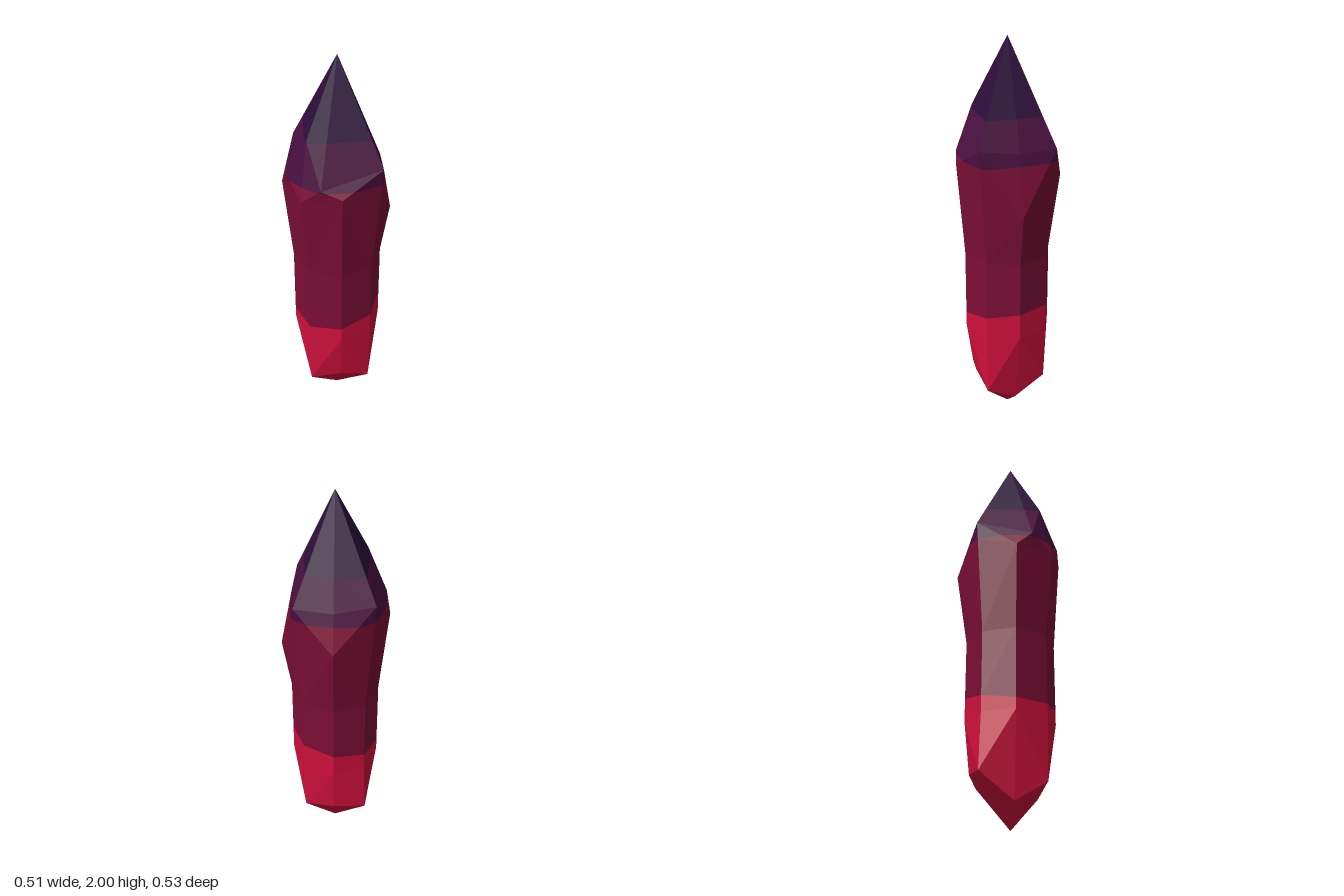
import * as THREE from 'three';

export function createModel() {
  const group = new THREE.Group();
  group.name = 'crystal';

  // Eight edges: four main (even) and four minor (odd), 45 degrees apart
  const angles = Array.from({ length: 8 }, (_, i) => THREE.MathUtils.degToRad(74.5 + 45 * i));
  const at = (i, r, y) => new THREE.Vector3(r * Math.cos(angles[i]), y, r * Math.sin(angles[i]));
  const ring = (rows) => rows.map(([r, y], i) => at(i, r, y));
  const even = (r, y) => angles.map((_, i) => at(i, r, y));
  const point = (y) => angles.map(() => new THREE.Vector3(0, y, 0));

  // Cut corners above the shoulder
  const shoulder = ring([[0.274, 1.515], [0.257, 1.4], [0.267, 1.36], [0.265, 1.37],
    [0.276, 1.52], [0.276, 1.3], [0.264, 1.495], [0.264, 1.19]]);
  const crown = shoulder.map((p) => p.clone());
  crown[1].set(-0.2, 1.44, 0.155);
  crown[2].set(-0.2, 1.65, 0.042);
  crown[3].set(-0.255, 1.45, -0.05);
  crown[5] = at(5, 0.215, 1.49);
  crown[7] = at(7, 0.205, 1.49);

  const rings = [
    point(0.005),
    ring([[0.215, 0.19], [0.175, 0.235], [0.217, 0.2], [0.15, 0.11],
      [0.235, 0.24], [0.195, 0.26], [0.215, 0.235], [0.142, 0.12]]),
    even(0.222, 0.52),
    even(0.221, 0.93),
    shoulder,
    crown,
    point(2),
  ];

  // Facets; each diagonal runs from the lower main edge to the upper minor edge
  const facets = [];
  for (let k = 0; k + 1 < rings.length; k++) {
    for (let i = 0; i < 8; i++) {
      const j = (i + 1) % 8;
      const a = rings[k][i], b = rings[k][j], c = rings[k + 1][i], d = rings[k + 1][j];
      if (i % 2 === 0) facets.push([a, c, d], [a, d, b]);
      else facets.push([a, c, b], [c, d, b]);
    }
  }

  // Keeps the part of a polygon where side * height(p) >= 0
  const clip = (poly, height, side) => {
    const out = [];
    poly.forEach((p, i) => {
      const q = poly[(i + 1) % poly.length];
      const hp = side * height(p), hq = side * height(q);
      if (hp >= 0) out.push(p);
      if ((hp > 0 && hq < 0) || (hp < 0 && hq > 0)) out.push(p.clone().lerp(q, hp / (hp - hq)));
    });
    return out;
  };

  // Colour bands, split by these levels
  const levels = [(p) => p.y - 0.613 - 0.2 * p.x, (p) => p.y - 1.43, (p) => p.y - 1.64];
  const bands = [
    ['base', 'bright red', 0xcf103a],
    ['shaft', 'crimson', 0x7c0e36],
    ['shoulder', 'plum', 0x4a1040],
    ['tip', 'dark violet', 0x2d0e3b],
  ];
  bands.forEach(([name, colour, hex], n) => {
    const positions = [];
    for (const facet of facets) {
      let poly = facet;
      if (n > 0) poly = clip(poly, levels[n - 1], 1);
      if (n < levels.length) poly = clip(poly, levels[n], -1);
      for (let i = 1; i + 1 < poly.length; i++) {
        const tri = new THREE.Triangle(poly[0], poly[i], poly[i + 1]);
        if (tri.getArea() < 1e-7) continue;
        for (const p of [tri.a, tri.b, tri.c]) positions.push(p.x, p.y, p.z);
      }
    }
    const geometry = new THREE.BufferGeometry();
    geometry.setAttribute('position', new THREE.Float32BufferAttribute(positions, 3));
    geometry.computeVertexNormals();
    const material = new THREE.MeshStandardMaterial({ color: hex, flatShading: true });
    material.name = colour;
    const mesh = new THREE.Mesh(geometry, material);
    mesh.name = name;
    group.add(mesh);
  });

  return group;
}
